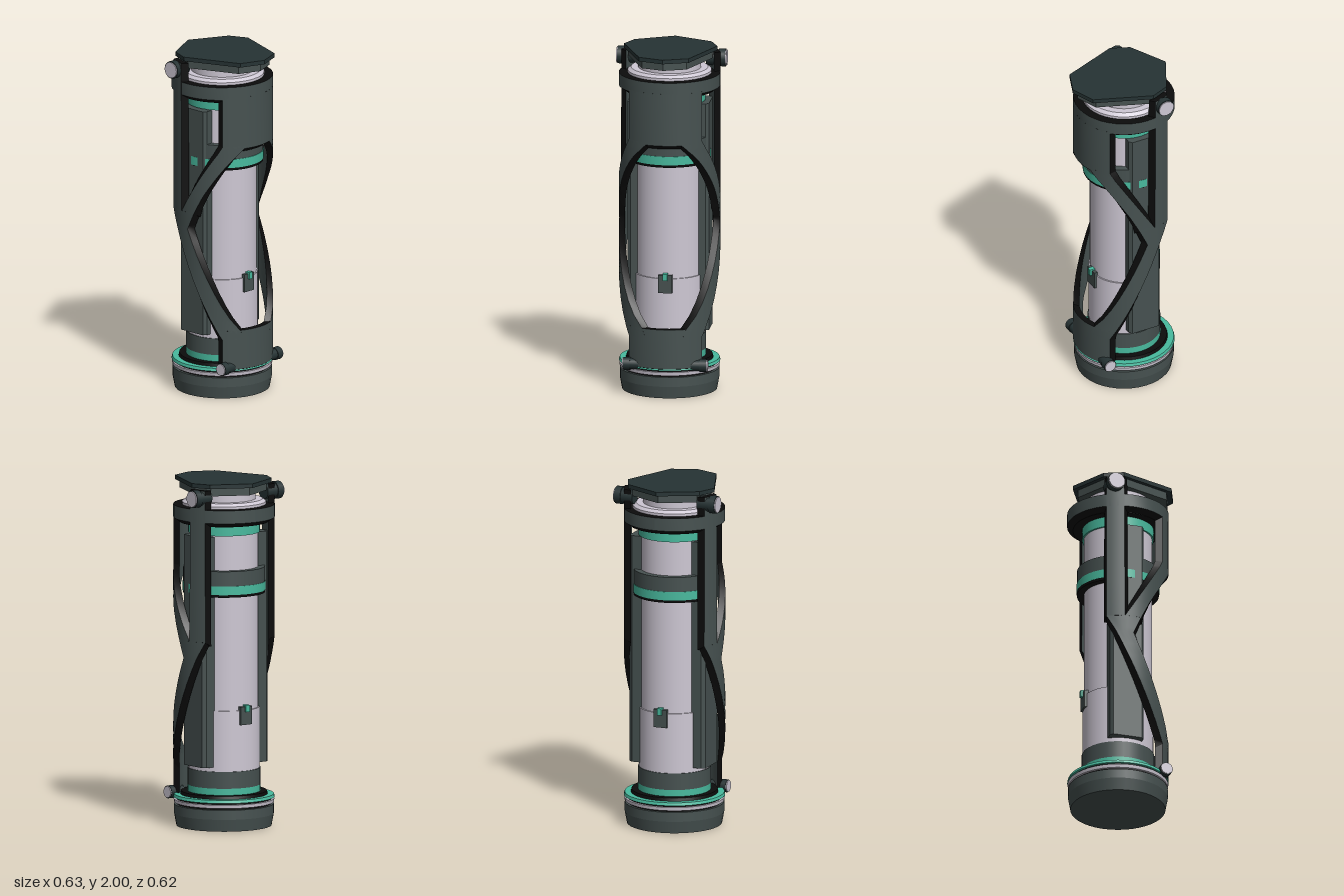
import * as THREE from 'three';
import { mergeGeometries } from 'three/addons/utils/BufferGeometryUtils.js';

const mat = (name, color) => {
  const m = new THREE.MeshStandardMaterial({ color });
  m.name = name;
  return m;
};
const dark = mat('slate', 0x465150);
const deep = mat('deepSlate', 0x263334);
const black = mat('blackEdge', 0x0c0c0c);
const light = mat('paleMetal', 0xcec8d4);
const teal = mat('teal', 0x48ba9e);

const ZC = -0.02; // z of the main axis
const RO = 0.29, RI = 0.255; // cage shell radii
const BEVEL = 0.025;

// Grid surface from a point function, rows i and columns j
function grid(ni, nj, f) {
  const pos = [], idx = [];
  for (let i = 0; i <= ni; i++) for (let j = 0; j <= nj; j++) pos.push(...f(i, j));
  for (let i = 0; i < ni; i++) for (let j = 0; j < nj; j++) {
    const a = i * (nj + 1) + j, b = a + nj + 1;
    idx.push(a, b, b + 1, a, b + 1, a + 1);
  }
  const g = new THREE.BufferGeometry();
  g.setAttribute('position', new THREE.Float32BufferAttribute(pos, 3));
  g.setIndex(idx);
  g.computeVertexNormals();
  return g;
}

// Curved solid patch of the cage; rows run downwards as [y, angle from, angle to]
function shellPatch(name, rows, nj) {
  const n = rows.length - 1;
  const full = rows[0][2] - rows[0][1] > 6.2;
  const point = (outer, i, j) => {
    let [y, a, b] = rows[i];
    const c = outer || full ? 0 : BEVEL / RO;
    a -= c;
    b += c;
    if (!outer && i === n) y -= BEVEL;
    const t = a + (b - a) * j / nj, r = outer ? RO : RI;
    return [r * Math.sin(t), y, ZC + r * Math.cos(t)];
  };
  const faces = mergeGeometries([
    grid(n, nj, (i, j) => point(true, i, j)),
    grid(n, nj, (i, j) => point(false, i, nj - j)),
  ]);
  const edges = [
    grid(1, nj, (k, j) => point(k === 1, 0, j)),
    grid(1, nj, (k, j) => point(k === 0, n, j)),
  ];
  if (!full) edges.push(
    grid(n, 1, (i, k) => point(k === 1, i, 0)),
    grid(n, 1, (i, k) => point(k === 0, i, nj)));
  const mesh = new THREE.Mesh(mergeGeometries([faces, mergeGeometries(edges)], true), [dark, black]);
  mesh.name = name;
  return mesh;
}

// Angle on the shell from a z position
const angle = z => Math.acos(THREE.MathUtils.clamp((z - ZC) / RO, -1, 1));

// Strut rows [y, front z, rear z], subdivided, turned into angles for one side
function strutRows(keys, side, steps = 4) {
  const out = [];
  keys.forEach((k, i) => {
    const next = keys[i + 1];
    for (let s = 0; s < (next ? steps : 1); s++) {
      const [y, z0, z1] = next ? k.map((v, c) => v + (next[c] - v) * s / steps) : k;
      const a = angle(z0), b = angle(z1);
      out.push(side > 0 ? [y, a, b] : [y, -b, -a]);
    }
  });
  return out;
}

export function createModel() {
  const model = new THREE.Group();
  model.name = 'canister';
  const add = (name, geo, material, x = 0, y = 0, z = 0, parent = model) => {
    const m = new THREE.Mesh(geo, material);
    m.name = name;
    m.position.set(x, y, z);
    parent.add(m);
    return m;
  };
  // Upright disc or tube from y0 to y1
  const drum = (name, y0, y1, r0, r1, material) =>
    add(name, new THREE.CylinderGeometry(r1, r0, y1 - y0, 40), material, 0, (y0 + y1) / 2, ZC);

  // Base
  drum('baseFoot', 0, 0.07, 0.272, 0.285, dark);
  drum('baseRim', 0.07, 0.125, 0.285, 0.285, dark);
  drum('baseGroove', 0.125, 0.14, 0.27, 0.27, black);
  drum('baseLightRing', 0.135, 0.155, 0.285, 0.288, light);
  drum('baseDarkRing', 0.155, 0.165, 0.275, 0.275, black);
  drum('baseTealRing', 0.165, 0.182, 0.29, 0.285, teal);
  drum('baseInnerRing', 0.18, 0.2, 0.25, 0.245, black);

  // Body tube and bands
  drum('lowerTealBand', 0.2, 0.238, 0.208, 0.208, teal);
  drum('lowerDarkBand', 0.238, 0.335, 0.208, 0.208, dark);
  drum('lowerTube', 0.335, 0.685, 0.203, 0.203, light);
  drum('upperTube', 0.685, 1.7, 0.195, 0.195, light);
  drum('beltUnderside', 1.345, 1.36, 0.234, 0.236, black);
  drum('beltTeal', 1.36, 1.41, 0.237, 0.237, teal);
  drum('beltDark', 1.41, 1.495, 0.234, 0.234, dark);
  drum('upperTealBand', 1.695, 1.755, 0.205, 0.205, teal);
  drum('collarFill', 1.755, 1.855, 0.257, 0.257, black);
  drum('neckRing', 1.85, 1.87, 0.24, 0.24, light);
  drum('neckRingTop', 1.87, 1.885, 0.24, 0.22, light);
  drum('neck', 1.88, 1.935, 0.18, 0.18, light);

  // Cage: collar, front plates
  model.add(shellPatch('collar', [[1.855, -Math.PI, Math.PI], [1.78, -Math.PI, Math.PI]], 40));
  const a = angle(0.18);
  model.add(shellPatch('upperFrontPlate', [[1.79, -a, a], [1.485, -a, a]], 16));
  model.add(shellPatch('lowerFrontPlate', [[0.405, -a, a], [0.38, -a, a], [0.175, -a, a]], 16));

  for (const s of [1, -1]) {
    // Cage struts
    model.add(shellPatch('upperStrut', strutRows([
      [1.5, 0.258, 0.18], [1.45, 0.235, 0.155], [1.36, 0.18, 0.1], [1.2, 0.083, 0], [1.09, 0.026, -0.07],
    ], s), 5));
    model.add(shellPatch('lowerStrut', strutRows([
      [1.09, 0.026, -0.17], [0.99, -0.02, -0.117], [0.7, 0.11, 0.018], [0.4, 0.242, 0.157], [0.35, 0.25, 0.18],
    ], s), 5));
    model.add(shellPatch('rearPost', strutRows([[1.965, -0.075, -0.168], [1.09, -0.07, -0.17]], s), 4));

    // Side slab with chamfered outer corners
    const p = new THREE.Shape([[0.1, -0.1], [0.215, -0.1], [0.235, -0.085], [0.235, 0.085], [0.215, 0.1], [0.1, 0.1]]
      .map(([x, z]) => new THREE.Vector2(x, z)));
    const slab = new THREE.ExtrudeGeometry(p, { depth: 1.33, bevelEnabled: false });
    slab.rotateX(-Math.PI / 2);
    if (s < 0) slab.rotateY(Math.PI);
    add('sideSlab', slab, dark, 0, 0.36, -0.037);

    // Hinge pins
    const pin = (name, x0, x1, r, y, z) => {
      const g = new THREE.Group();
      g.name = name;
      const part = (label, from, to, rad, m) => add(label,
        new THREE.CylinderGeometry(rad, rad, to - from, 20).rotateZ(Math.PI / 2), m, s * (from + to) / 2, y, z, g);
      part('pinStem', x0, x1 - 0.04, r * 0.88, deep);
      part('pinHead', x1 - 0.045, x1 - 0.006, r, deep);
      part('pinCap', x1 - 0.006, x1, r * 0.9, light);
      model.add(g);
    };
    pin('upperPin', 0.2, 0.317, 0.051, 1.92, -0.128);
    pin('lowerPin', 0.14, 0.245, 0.037, 0.185, 0.195);
  }

  // Clips on front and back
  for (const s of [1, -1]) {
    const clip = new THREE.Group();
    clip.name = s > 0 ? 'frontClip' : 'backClip';
    clip.position.z = ZC;
    add('clipPlate', new THREE.BoxGeometry(0.08, 0.105, 0.025), dark, 0, 0.655, s * 0.2, clip);
    add('clipLatch', new THREE.BoxGeometry(0.026, 0.04, 0.035), teal, 0, 0.697, s * 0.208, clip);
    model.add(clip);
  }

  // Lid: top plate over a smaller tapered underplate
  const half = [[0, -0.29], [0.222, -0.178], [0.268, -0.07], [0.143, 0.255], [0, 0.31]];
  const outline = [...half, ...half.slice(1, -1).reverse().map(([x, z]) => [-x, z])];
  const plate = (name, y, depth, k, material) => {
    const sh = new THREE.Shape(outline.map(([x, z]) => new THREE.Vector2(x * k, -z * k)));
    const g = new THREE.ExtrudeGeometry(sh, { depth, bevelEnabled: false }).rotateX(-Math.PI / 2);
    return add(name, g, material, 0, y, 0);
  };
  plate('lidTop', 1.976, 0.024, 1, deep);
  plate('lidUnderplate', 1.93, 0.047, 0.9, dark);

  return model;
}
